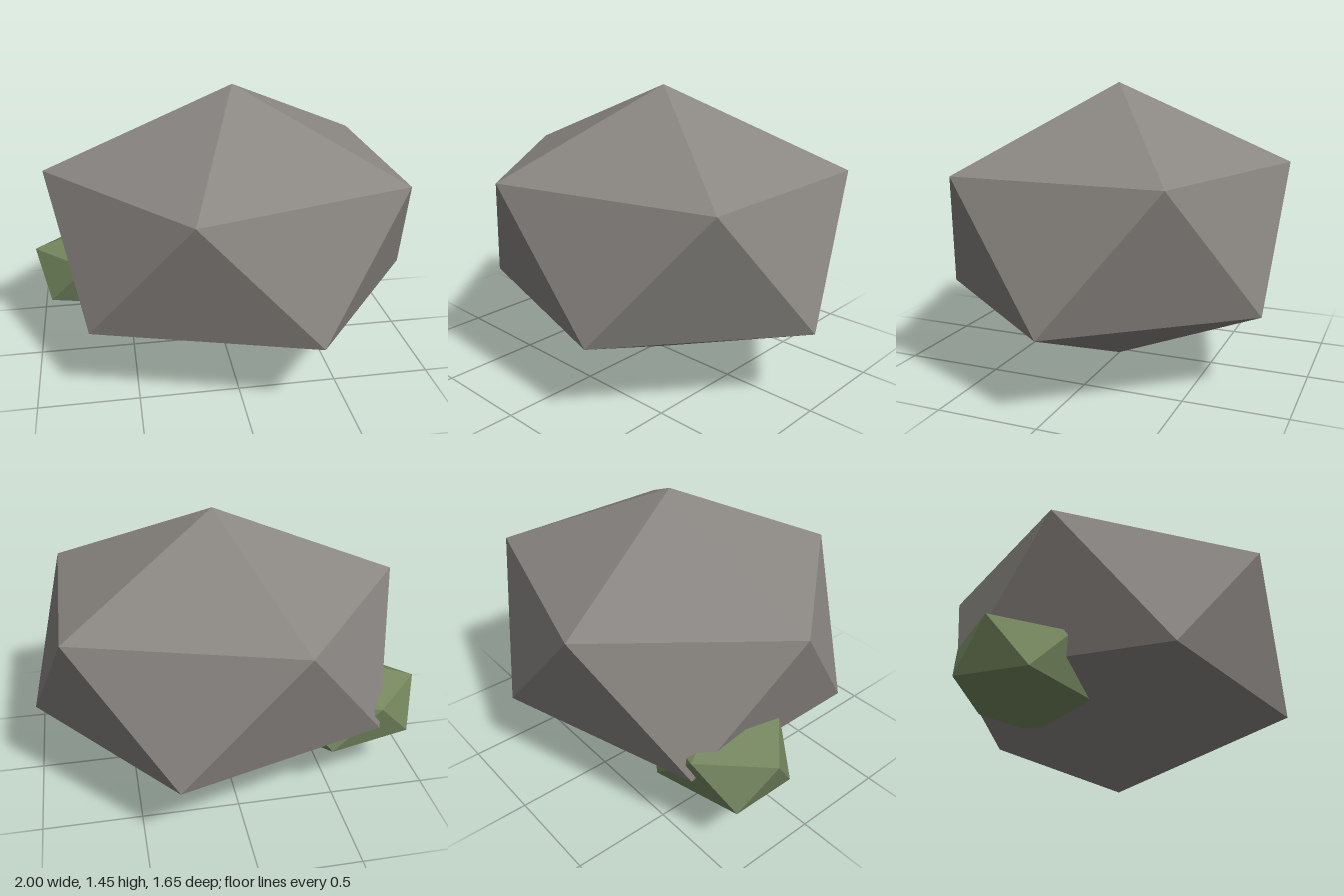
import * as THREE from 'three';

// Icosahedron standing on a point, with an upper-ring corner towards -x, stretched per axis
function facetedStone(name, color, radii, position) {
  const geometry = new THREE.IcosahedronGeometry(1, 0);
  geometry.rotateZ(Math.atan(2 / (1 + Math.sqrt(5))));
  geometry.scale(...radii);
  geometry.computeVertexNormals();
  const material = new THREE.MeshStandardMaterial({ color, flatShading: true });
  const mesh = new THREE.Mesh(geometry, material);
  mesh.name = name;
  mesh.position.set(...position);
  return mesh;
}

export function createModel() {
  const group = new THREE.Group();
  group.name = 'mossyRock';

  // Large boulder
  group.add(facetedStone('boulder', 0x8a8682, [1.064, 0.723, 0.868 / 0.8944], [0.045, 0.723, 0]));

  // Moss clump growing out of its lower back right side
  group.add(facetedStone('mossClump', 0x75875f, [0.442, 0.257, 0.333], [-0.605, 0.4, -0.235]));

  return group;
}
